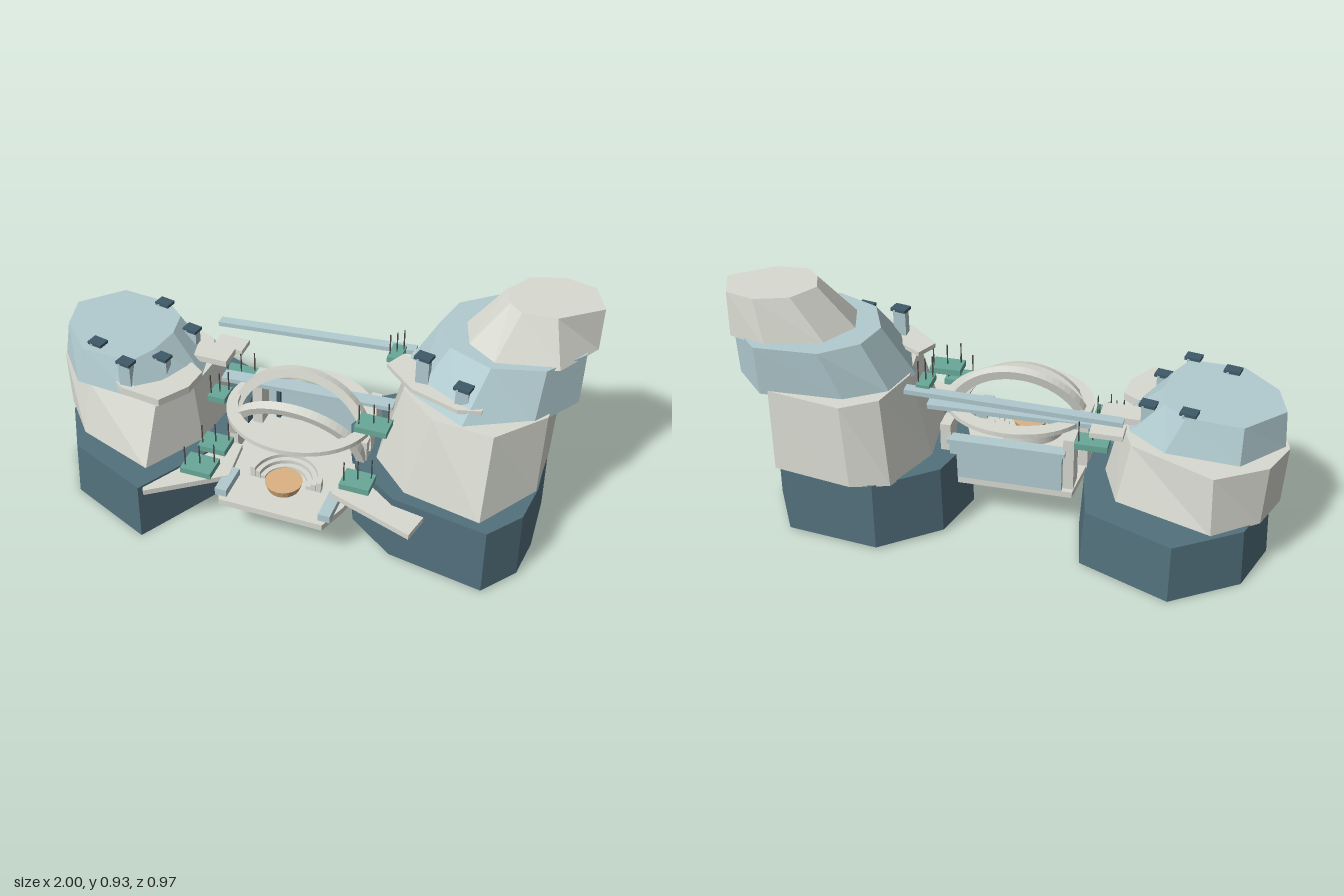
import * as THREE from 'three';

const mat = (name, color) => Object.assign(new THREE.MeshStandardMaterial({ color, flatShading: true }), { name });

export function createModel() {
  const root = new THREE.Group();
  root.name = 'twinTowerStage';
  const rock = mat('slate blue', 0x52707c);
  const pale = mat('pale stone', 0xd8dad1);
  const blue = mat('light blue', 0xb1cbd0);
  const teal = mat('teal', 0x68a898);
  const dark = mat('dark slate', 0x3f5a68);
  const amber = mat('amber', 0xdcb283);
  const iron = mat('iron', 0x4c4a45);

  const add = (name, geo, material, x = 0, y = 0, z = 0, parent = root) => {
    const m = new THREE.Mesh(geo, material);
    m.name = name;
    m.position.set(x, y, z);
    parent.add(m);
    return m;
  };
  const box = (name, material, w, h, d, x, y, z, parent) =>
    add(name, new THREE.BoxGeometry(w, h, d), material, x, y, z, parent);

  // Closed block between two matching rings of [x, z] corners
  const loft = (name, material, lower, upper, y0, y1) => {
    const p = [];
    const n = lower.length;
    const mid = (ring) => [0, 1].map((k) => ring.reduce((s, c) => s + c[k], 0) / n);
    const cl = mid(lower), cu = mid(upper);
    const put = (c, y) => p.push(c[0], y, c[1]);
    for (let i = 0; i < n; i++) {
      const j = (i + 1) % n;
      put(lower[i], y0); put(upper[i], y1); put(upper[j], y1);
      put(lower[i], y0); put(upper[j], y1); put(lower[j], y0);
      put(cu, y1); put(upper[j], y1); put(upper[i], y1);
      put(cl, y0); put(lower[i], y0); put(lower[j], y0);
    }
    const g = new THREE.BufferGeometry();
    g.setAttribute('position', new THREE.Float32BufferAttribute(p, 3));
    g.computeVertexNormals();
    return add(name, g, material);
  };
  const slab = (name, material, ring, y0, y1) => loft(name, material, ring, ring, y0, y1);
  const shrink = (ring, s, cx, cz) => ring.map(([x, z]) => [cx + (x - cx) * s, cz + (z - cz) * s]);

  // Right-hand low tower
  const lowBase = [[-.65, -.485], [-.315, -.35], [-.27, -.12], [-.27, .12], [-.475, .485], [-.81, .34], [-.93, .14], [-.965, -.12], [-.89, -.33]];
  loft('lowTowerBase', rock, lowBase, shrink(lowBase, .965, -.62, 0), 0, .22);
  loft('lowTowerWall', pale,
    [[-.77, -.37], [-.42, -.25], [-.35, -.06], [-.37, .13], [-.5, .36], [-.81, .25], [-.95, .09], [-.99, -.1], [-.93, -.25]],
    [[-.76, -.35], [-.46, -.21], [-.4, -.06], [-.41, .1], [-.49, .26], [-.8, .2], [-.96, .08], [-1, -.1], [-.94, -.24]], .215, .44);
  loft('lowTowerTop', blue,
    [[-.84, -.25], [-.58, -.23], [-.44, -.12], [-.41, .02], [-.46, .14], [-.58, .24], [-.83, .22], [-.96, .07], [-.985, -.09]],
    [[-.84, -.22], [-.64, -.2], [-.56, -.13], [-.54, -.02], [-.56, .1], [-.61, .2], [-.81, .19], [-.94, .06], [-.975, -.08]], .44, .575);

  // Left-hand high tower, four tiers
  const highBase = [[.42, -.45], [.77, -.41], [.89, -.2], [.9, .04], [.88, .2], [.78, .33], [.42, .27], [.24, .14], [.15, -.08], [.21, -.29]];
  loft('highTowerBase', rock, highBase, shrink(highBase, .985, .55, -.05), .01, .28);
  loft('highTowerWall', pale,
    [[.36, -.42], [.5, -.46], [.8, -.41], [.89, -.18], [.89, .05], [.74, .28], [.45, .22], [.3, .07], [.27, -.2]],
    [[.4, -.37], [.52, -.45], [.8, -.4], [.9, -.18], [.89, .02], [.74, .19], [.52, .17], [.38, .04], [.35, -.18]], .275, .595);
  loft('highTowerUpper', blue,
    [[.38, -.3], [.52, -.39], [.83, -.4], [.96, -.27], [.97, -.12], [.85, .06], [.62, .18], [.42, .07], [.34, -.14]],
    [[.48, -.3], [.6, -.4], [.83, -.41], [.96, -.28], [.97, -.14], [.86, 0], [.68, .05], [.52, -.02], [.45, -.17]], .58, .77);
  loft('highTowerCap', pale,
    [[.6, -.32], [.8, -.38], [.95, -.33], [1, -.2], [.9, -.03], [.68, .02], [.57, -.06], [.53, -.19]],
    [[.72, -.31], [.84, -.35], [.95, -.32], [1, -.2], [.86, -.09], [.74, -.08], [.69, -.13], [.66, -.21]], .76, .925);

  // Stage floor and side terraces
  slab('stageFloor', pale, [[-.25, -.18], [.25, -.18], [.28, .1], [.24, .27], [.2, .38], [-.2, .38], [-.24, .27], [-.28, .1]], .155, .18);
  slab('lowTerrace', pale, [[-.34, .1], [-.22, .1], [-.2, .28], [-.46, .465], [-.52, .38]], .19, .212);
  slab('highTerrace', pale, [[.21, .1], [.4, .1], [.56, .22], [.52, .39], [.2, .28]], .228, .25);

  // Back wall of the stage with posts and rail
  box('backWall', blue, .42, .15, .03, 0, .255, -.165);
  box('backWallRail', blue, .44, .018, .05, 0, .335, -.16);
  for (const x of [-.165, .165]) box('backWallPost', dark, .016, .15, .014, x, .255, -.143);
  for (const s of [-1, 1]) {
    box('sidePier', pale, .035, .2, .1, s * .255, .26, .05);
    box('backPier', pale, .04, .22, .08, s * .23, .28, -.12);
    box('stageWing', blue, .045, .03, .13, s * .2, .195, .295);
    for (let i = 0; i < 3; i++) box('underLamp', dark, .015, .012, .015, s * .2, .15, -.1 + i * .16);
  }

  // Round platform with stepped half rings behind it
  add('platform', new THREE.CylinderGeometry(.07, .06, .03, 20), amber, 0, .195, .235);
  const band = (rOut, rIn, ryOut, ryIn, depth) => {
    const s = new THREE.Shape();
    s.absellipse(0, 0, rOut, ryOut, 0, Math.PI, false, 0);
    s.lineTo(-rIn, 0);
    s.absellipse(0, 0, rIn, ryIn, Math.PI, 0, true, 0);
    s.closePath();
    return new THREE.ExtrudeGeometry(s, { depth, bevelEnabled: false, curveSegments: 16 });
  };
  for (let i = 0; i < 3; i++) {
    const r = .08 + i * .02;
    const step = add('seatingStep', band(r + .019, r, r + .019, r, .015 + i * .014), pale, 0, .18, .22);
    step.rotation.x = -Math.PI / 2;
  }

  // Flat gallery ring with two arches rising over it
  const ring = new THREE.Shape().absellipse(0, 0, .28, .25, 0, Math.PI * 2, false, 0);
  ring.holes.push(new THREE.Path().absellipse(0, 0, .24, .19, 0, Math.PI * 2, true, 0));
  add('galleryRing', new THREE.ExtrudeGeometry(ring, { depth: .018, bevelEnabled: false, curveSegments: 28 }),
    pale, 0, .395, .05).rotation.x = -Math.PI / 2;
  add('backArch', band(.28, .243, .265, .23, .035), pale, 0, .298, .04).rotation.x = -.2;
  add('frontArch', band(.27, .238, .235, .205, .035), pale, 0, .28, .08).rotation.x = .3;

  // Sloping footbridges
  const bridge = (a, b, w) => {
    const from = new THREE.Vector3(...a), to = new THREE.Vector3(...b);
    const m = box('footbridge', blue, w, .018, from.distanceTo(to), 0, 0, 0);
    m.position.copy(from).add(to).multiplyScalar(.5);
    m.lookAt(to);
  };
  bridge([-.43, .53, -.21], [.35, .57, -.235], .04);
  bridge([-.35, .405, -.045], [.32, .42, -.075], .055);

  // Balconies on the towers
  box('lowBalcony', pale, .16, .025, .09, -.41, .475, -.07);
  box('lowBackBalcony', pale, .12, .02, .08, -.37, .46, -.17);
  slab('lowFrontBalcony', pale, [[-.45, .02], [-.39, .06], [-.4, .16], [-.47, .27], [-.63, .25], [-.7, .2], [-.6, .1]], .455, .485);
  slab('highBalcony', pale, [[.34, -.1], [.5, 0], [.68, .06], [.68, .13], [.6, .15], [.42, .09], [.3, -.02]], .628, .645);

  // Teal landing pads with thin poles
  const pad = (x, y, z, w, d) => {
    const g = new THREE.Group();
    g.name = 'landingPad';
    g.position.set(x, y, z);
    root.add(g);
    box('padDeck', teal, w, .024, d, 0, 0, 0, g);
    for (const i of [-1, 0, 1])
      box('padPole', iron, .004, .09, .004, i * w * .4, .05, i * d * -.25, g);
  };
  [[-.31, .235, .29, .12, .095], [-.305, .235, .155, .11, .09], [-.34, .365, .02, .07, .08], [-.31, .37, -.12, .12, .08],
    [.295, .33, .275, .11, .09], [.3, .468, .12, .12, .085], [.29, .575, -.18, .05, .09]].forEach((p) => pad(...p));

  // Small turrets with dark caps: x, z, foot, top
  [[-.65, -.18, .57, .585], [-.77, .145, .57, .585], [-.5, -.1, .485, .55], [-.525, .11, .485, .555],
    [-.62, .215, .485, .58], [.445, .03, .64, .745], [.605, .1, .64, .705]].forEach(([x, z, y0, y1]) => {
    box('turret', blue, .046, y1 - y0, .04, x, (y0 + y1) / 2, z);
    box('turretCap', dark, .06, .012, .045, x, y1, z).rotation.y = -.2;
  });

  return root;
}
